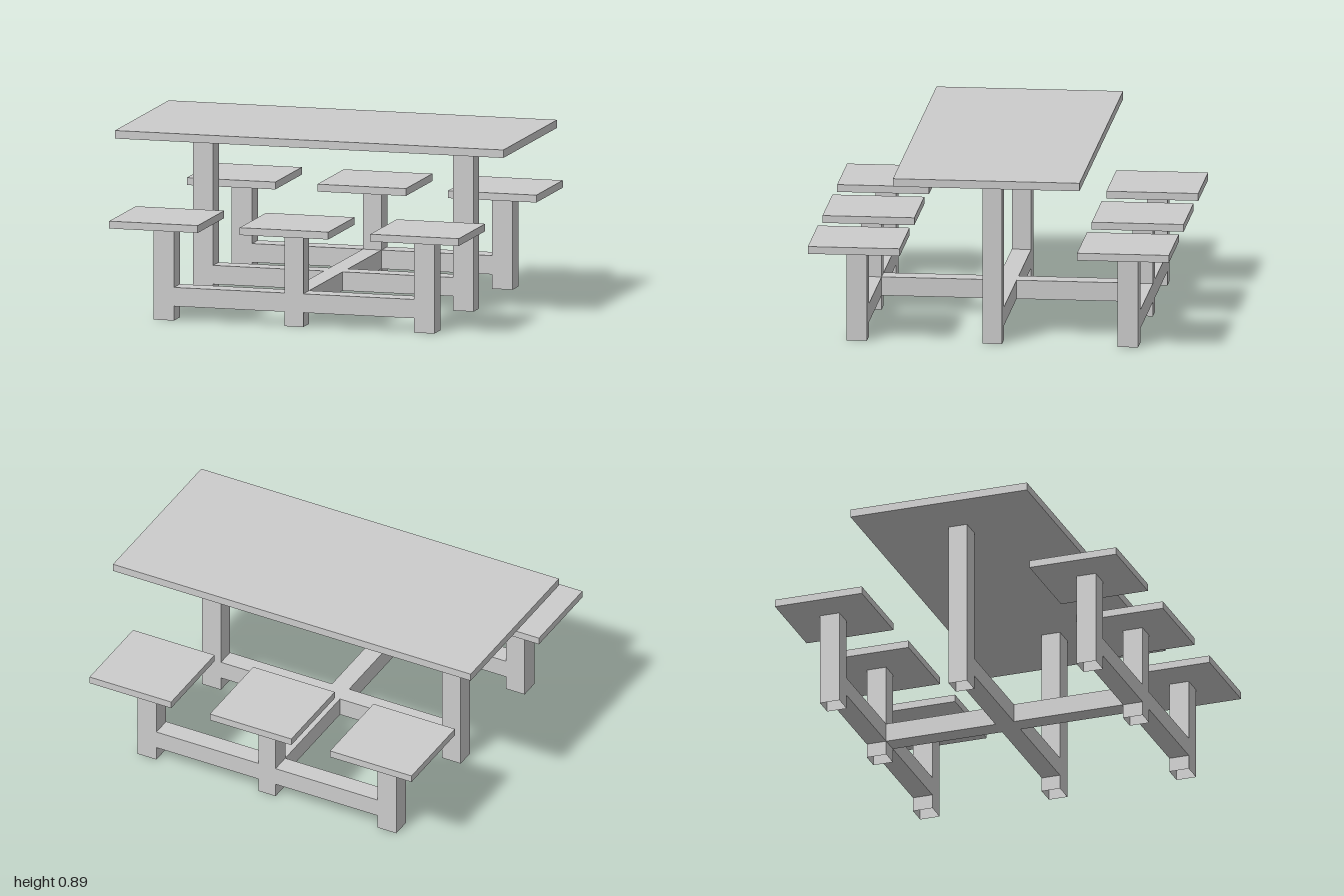
import * as THREE from 'three';

const material = new THREE.MeshStandardMaterial({ color: 0xcccccc, flatShading: true });
const openMaterial = new THREE.MeshStandardMaterial({ color: 0xcccccc, flatShading: true, side: THREE.DoubleSide });

// Box given by its [min, max] extent on each axis
function box(name, [x0, x1], [y0, y1], [z0, z1], hollow = false) {
  const geometry = new THREE.BoxGeometry(x1 - x0, y1 - y0, z1 - z0);
  if (hollow) {
    // Drop the top and bottom faces, leaving an open square tube
    const index = Array.from(geometry.index.array);
    geometry.setIndex([...index.slice(0, 12), ...index.slice(24)]);
    geometry.clearGroups();
  }
  const mesh = new THREE.Mesh(geometry, hollow ? openMaterial : material);
  mesh.name = name;
  mesh.position.set((x0 + x1) / 2, (y0 + y1) / 2, (z0 + z1) / 2);
  return mesh;
}

// Extent from a to b, mirrored when side is -1
const span = (side, a, b) => (side > 0 ? [a, b] : [-b, -a]);

export function createModel() {
  const group = new THREE.Group();
  group.name = 'picnicTable';

  const half = 0.048;              // half width of the slim beams
  const inner = 0.618, outer = 0.723; // extent of the outer legs
  const barY = [0.072, 0.166];
  const seatY = [0.475, 0.512];
  const topY = [0.85, 0.89];
  const middle = [-half, half];

  group.add(box('tableTop', [-1, 1], topY, [-0.463, 0.463]));

  // Table legs and the beam between them
  for (const side of [-1, 1]) {
    group.add(box('tableLeg', span(side, inner, outer), [0, topY[0]], middle, true));
  }
  group.add(box('longBeam', [-inner, inner], barY, middle));

  // One bench of three seats on each side
  for (const side of [-1, 1]) {
    const bench = new THREE.Group();
    bench.name = side > 0 ? 'frontBench' : 'backBench';
    const legZ = span(side, 0.622, 0.724);

    for (const column of [-1, 0, 1]) {
      const legX = column ? span(column, inner, outer) : middle;
      const cx = column * 0.672;
      bench.add(box('seatLeg', legX, [0, seatY[0]], legZ, true));
      bench.add(box('seat', [cx - 0.228, cx + 0.228], seatY, span(side, 0.44, 0.896)));
      if (column) bench.add(box('benchBeam', span(column, half, inner), barY, legZ));
    }

    // Cross beam from the middle seat leg to the long beam
    bench.add(box('crossBeam', middle, barY, span(side, half, 0.622)));
    group.add(bench);
  }
  return group;
}
